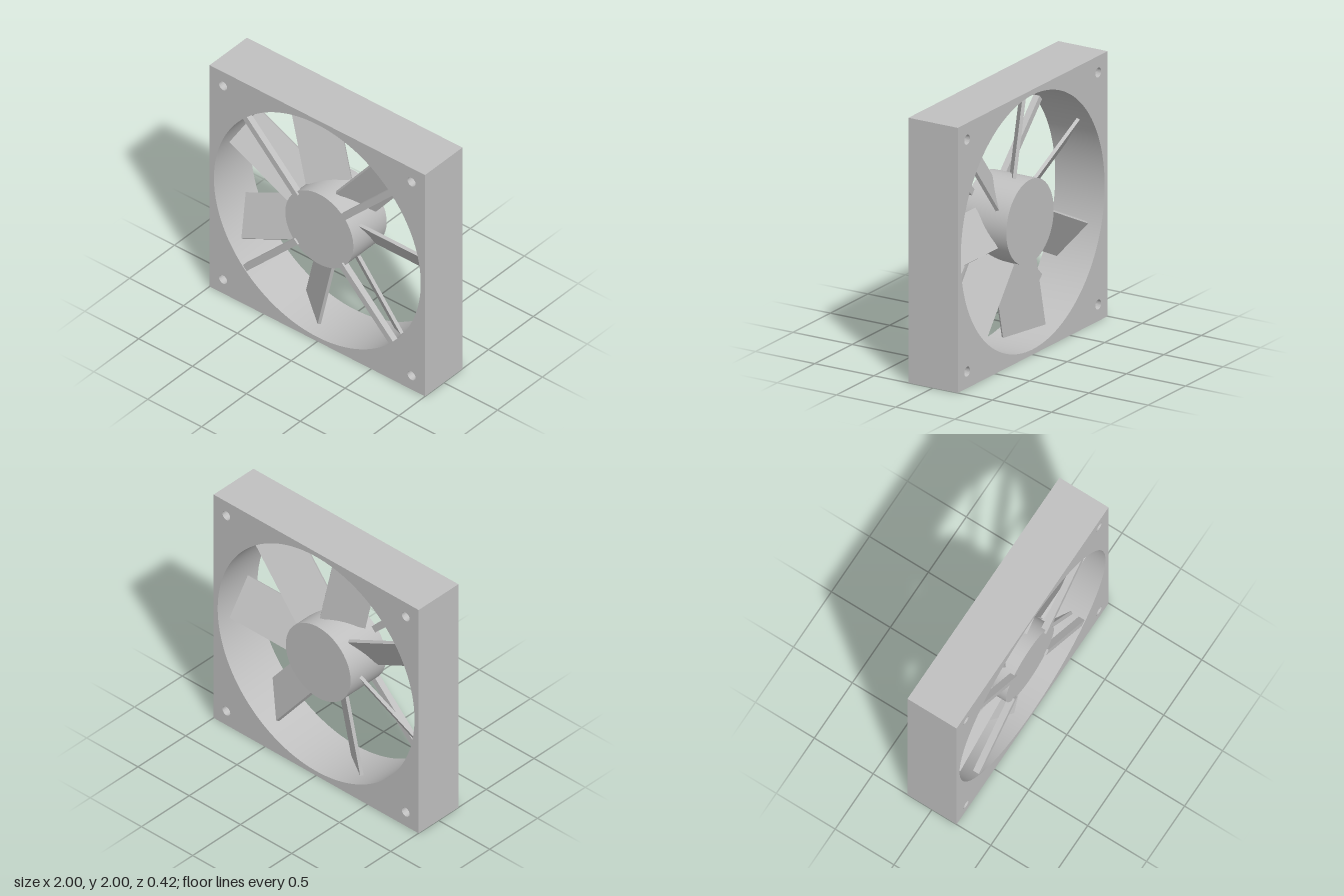
import * as THREE from 'three';
import { toCreasedNormals } from 'three/addons/utils/BufferGeometryUtils.js';

const DEPTH = 0.417;
const BORE = 0.96;
const BLADES = 7;

export function createModel() {
  const gray = new THREE.MeshStandardMaterial({ color: 0xc0c0c0 });
  gray.name = 'gray';

  const model = new THREE.Group();
  model.name = 'axialFan';

  const add = (name, geometry, parent) => {
    const mesh = new THREE.Mesh(geometry, gray);
    mesh.name = name;
    parent.add(mesh);
    return mesh;
  };
  const circle = (x, y, r) => new THREE.Path().absarc(x, y, r, 0, Math.PI * 2, true);

  // Square housing with the large bore and four screw holes
  const outline = new THREE.Shape([
    new THREE.Vector2(-1, -1), new THREE.Vector2(1, -1),
    new THREE.Vector2(1, 1), new THREE.Vector2(-1, 1),
  ]);
  outline.holes.push(circle(0, 0, BORE));
  for (const sx of [-1, 1]) {
    for (const sy of [-1, 1]) outline.holes.push(circle(sx * 0.875, sy * 0.875, 0.0375));
  }
  const housing = new THREE.ExtrudeGeometry(outline, {
    depth: DEPTH, bevelEnabled: false, curveSegments: 96,
  });
  housing.translate(0, 0, -DEPTH / 2);
  add('housing', toCreasedNormals(housing, 0.6), model);

  // Rotor: hub with pitched flat blades
  const rotor = new THREE.Group();
  rotor.name = 'rotor';
  model.add(rotor);

  const hub = new THREE.CylinderGeometry(0.316, 0.316, 0.372, 64);
  hub.rotateX(Math.PI / 2);
  add('hub', hub, rotor);

  const blade = new THREE.BoxGeometry(0.64, 0.333, 0.025);
  blade.rotateX(THREE.MathUtils.degToRad(35));
  blade.translate(0.62, 0, 0);
  for (let i = 0; i < BLADES; i++) {
    add('blade', blade, rotor).rotation.z = (i / BLADES) * Math.PI * 2;
  }

  // Four diagonal struts across the front, from the hub rim to the bore
  const strut = new THREE.BoxGeometry(0.68, 0.05, 0.05);
  strut.translate(0.63, 0, 0.177);
  for (let i = 0; i < 4; i++) {
    add('strut', strut, model).rotation.z = Math.PI / 4 + (i * Math.PI) / 2;
  }

  // Stand the housing on the ground
  model.children.forEach((part) => { part.position.y = 1; });
  return model;
}
